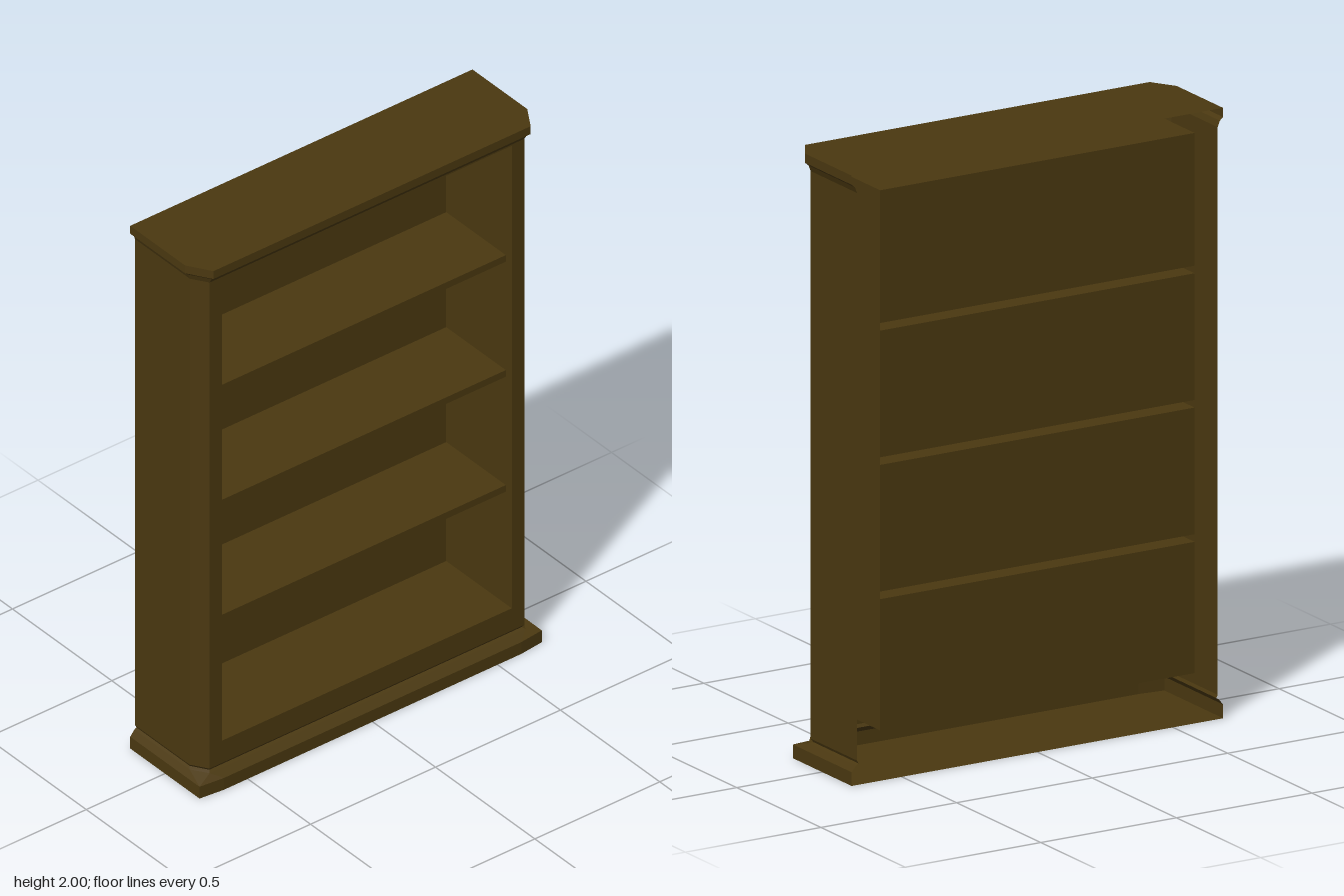
import * as THREE from 'three';

const BACK = -0.175, FRONT = 0.155;
const OPEN_X = 0.58, OPEN_BOTTOM = 0.165, OPEN_TOP = 1.935;

const wood = new THREE.MeshStandardMaterial({ color: 0x4a3810, flatShading: true, side: THREE.DoubleSide });

// Open plan outline from the back right corner round the front, with cut front corners
function outline(x, z, cutX, cutZ) {
  const half = [[x, BACK], [x, z - cutZ], [x - cutX, z]];
  return [...half.map(([px, pz]) => [-px, pz]), ...half.reverse()];
}

// Skin between stacked outlines; rings are [y, outline]
function skin(rings, skipFront = false) {
  const pos = [];
  for (let r = 0; r < rings.length - 1; r++) {
    const [y0, lo] = rings[r], [y1, hi] = rings[r + 1];
    for (let i = 0; i < lo.length - 1; i++) {
      if (skipFront && i === 2) continue;
      const a = [lo[i][0], y0, lo[i][1]], b = [lo[i + 1][0], y0, lo[i + 1][1]];
      const c = [hi[i][0], y1, hi[i][1]], d = [hi[i + 1][0], y1, hi[i + 1][1]];
      pos.push(...a, ...b, ...d, ...a, ...d, ...c);
    }
  }
  const geo = new THREE.BufferGeometry();
  geo.setAttribute('position', new THREE.Float32BufferAttribute(pos, 3));
  geo.computeVertexNormals();
  return geo;
}

// Flat horizontal plate filling an outline
function plate(points, y) {
  const shape = new THREE.Shape(points.map(([x, z]) => new THREE.Vector2(x, z)));
  return new THREE.ShapeGeometry(shape).rotateX(Math.PI / 2).translate(0, y, 0);
}

// Upright board facing the front
function upright(y0, y1, z) {
  return new THREE.PlaneGeometry(2 * OPEN_X, y1 - y0).translate(0, (y0 + y1) / 2, z);
}

// Horizontal board across the opening
function level(y, z0, z1) {
  return new THREE.PlaneGeometry(2 * OPEN_X, z1 - z0).rotateX(-Math.PI / 2).translate(0, y, (z0 + z1) / 2);
}

export function createModel() {
  const group = new THREE.Group();
  const add = (name, geo) => {
    const mesh = new THREE.Mesh(geo, wood);
    mesh.name = name;
    group.add(mesh);
  };

  const body = outline(0.665, FRONT, 0.035, 0.055);
  const foot = outline(0.685, 0.184, 0.09, 0.01);
  const crown = outline(0.685, 0.181, 0.05, 0.08);

  // Plinth and cornice mouldings
  add('plinth', skin([
    [0, foot], [0.045, foot],
    [0.065, outline(0.668, 0.158, 0.036, 0.055)],
    [0.07, outline(0.66, 0.148, 0.035, 0.055)],
    [0.08, body],
  ]));
  add('bottomPlate', plate(foot, 0));
  add('cornice', skin([
    [1.94, body],
    [1.96, outline(0.673, 0.167, 0.042, 0.066)],
    [1.97, crown], [2, crown],
  ]));
  add('topPlate', plate(crown, 2));

  // Outer sides with cut front corners
  add('sides', skin([[0.08, body], [1.94, body]], true));

  // Front frame around the opening
  const rect = (C, x, y0, y1) => new C([[-x, y0], [x, y0], [x, y1], [-x, y1]].map(([a, b]) => new THREE.Vector2(a, b)));
  const frame = rect(THREE.Shape, 0.63, 0.08, 1.94);
  frame.holes.push(rect(THREE.Path, OPEN_X, OPEN_BOTTOM, OPEN_TOP));
  add('frontFrame', new THREE.ShapeGeometry(frame).translate(0, 0, FRONT));

  // Inner lining
  for (const s of [-1, 1]) {
    const wall = new THREE.PlaneGeometry(FRONT - BACK, OPEN_TOP - OPEN_BOTTOM).rotateY(-s * Math.PI / 2);
    add(s > 0 ? 'leftInnerWall' : 'rightInnerWall',
      wall.translate(s * OPEN_X, (OPEN_TOP + OPEN_BOTTOM) / 2, (FRONT + BACK) / 2));
  }
  add('innerFloor', level(OPEN_BOTTOM, BACK, FRONT));
  add('innerCeiling', level(OPEN_TOP, BACK, FRONT));

  // Shelves, hollow and open at the back, with a back panel between each pair
  const shelfFront = 0.125, thick = 0.025;
  let below = OPEN_BOTTOM;
  for (const y of [0.595, 1.035, 1.475]) {
    add('backPanel', upright(below, y, BACK));
    add('shelfUnderside', level(y, BACK, shelfFront));
    add('shelfTop', level(y + thick, BACK, shelfFront));
    add('shelfEdge', upright(y, y + thick, shelfFront));
    below = y + thick;
  }
  add('backPanel', upright(below, OPEN_TOP, BACK));

  return group;
}
